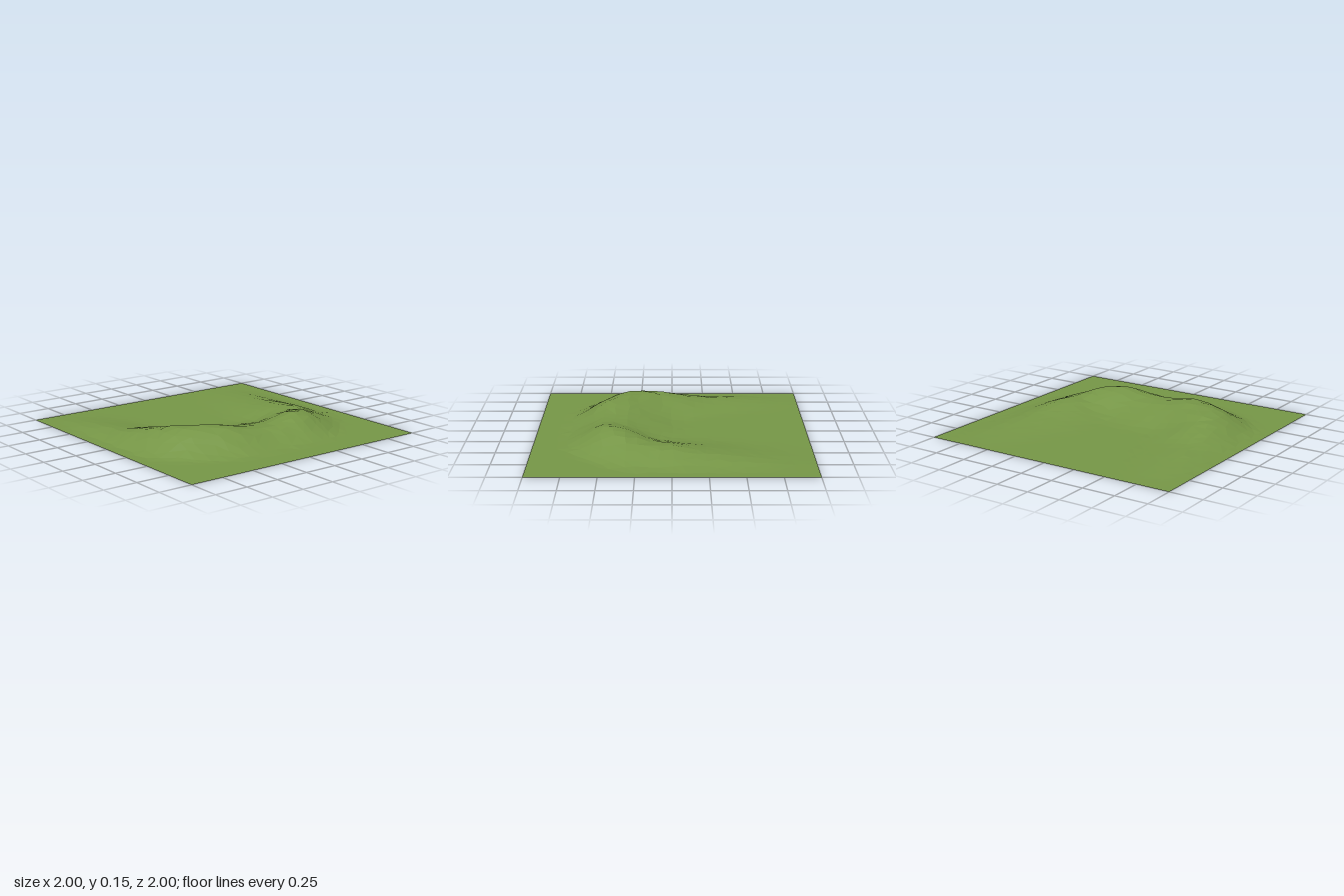
import * as THREE from 'three';

// Crest line of the hill: x, height, z, outer slope width, inner slope width
const CREST = [
  [-0.8, 0.003, -0.72, 0.2, 0.35], [-0.5, 0.027, -0.69, 0.23, 0.45], [-0.2, 0.052, -0.65, 0.27, 0.5],
  [0.05, 0.085, -0.6, 0.32, 0.45], [0.25, 0.097, -0.54, 0.36, 0.45], [0.43, 0.146, -0.37, 0.34, 0.45],
  [0.48, 0.118, -0.2, 0.32, 0.5], [0.49, 0.1, 0, 0.3, 0.6], [0.47, 0.115, 0.15, 0.33, 0.58],
  [0.43, 0.145, 0.32, 0.37, 0.52], [0.3, 0.152, 0.54, 0.38, 0.5], [0.07, 0.108, 0.65, 0.3, 0.46],
  [-0.16, 0.057, 0.71, 0.25, 0.42], [-0.45, 0.032, 0.76, 0.2, 0.38], [-0.8, 0.003, 0.8, 0.16, 0.3],
];

const SEGMENTS = 24, SAMPLES = 140;

// Repeatable value in -1..1 for a grid point
function wobble(i, j, k) {
  const s = Math.sin(i * 127.1 + j * 311.7 + k * 74.7) * 43758.5453;
  return (s - Math.floor(s)) * 2 - 1;
}

// Points along the crest with slope widths and the outward direction on the ground
function sampleCrest() {
  const line = new THREE.CatmullRomCurve3(CREST.map(([x, y, z]) => new THREE.Vector3(x, y, z)));
  const samples = [];
  for (let s = 0; s <= SAMPLES; s++) {
    const u = s / SAMPLES;
    const at = u * (CREST.length - 1), k = Math.min(Math.floor(at), CREST.length - 2);
    const width = (c) => THREE.MathUtils.lerp(CREST[k][c], CREST[k + 1][c], at - k);
    const t = line.getTangent(u), len = Math.hypot(t.x, t.z);
    samples.push({ p: line.getPoint(u), outer: width(3), inner: width(4), nx: t.z / len, nz: -t.x / len });
  }
  return samples;
}

// Ground height: the highest smooth slope falling away from any crest sample
function heightAt(x, z, samples) {
  let best = 0;
  for (const { p, outer, inner, nx, nz } of samples) {
    const dx = x - p.x, dz = z - p.z, d = Math.hypot(dx, dz);
    const side = d > 0 ? 0.5 + 0.5 * (dx * nx + dz * nz) / d : 0.5;
    const width = THREE.MathUtils.lerp(inner, outer, side);
    best = Math.max(best, p.y * (1 - THREE.MathUtils.smoothstep(d / width, 0, 1)));
  }
  return best;
}

export function createModel() {
  const group = new THREE.Group();
  const grass = new THREE.MeshStandardMaterial({ color: 0x759546, flatShading: true, side: THREE.DoubleSide });
  grass.name = 'grass green';

  // Square sheet, loosened into irregular facets and raised to the hill
  const sheet = new THREE.PlaneGeometry(2, 2, SEGMENTS, SEGMENTS).rotateX(-Math.PI / 2);
  const pos = sheet.attributes.position;
  const row = SEGMENTS + 1, cell = 2 / SEGMENTS;
  const samples = sampleCrest();
  for (let n = 0; n < pos.count; n++) {
    const i = n % row, j = Math.floor(n / row);
    let x = pos.getX(n), z = pos.getZ(n);
    if (i > 0 && j > 0 && i < SEGMENTS && j < SEGMENTS) {
      x += wobble(i, j, 1) * cell * 0.22;
      z += wobble(i, j, 2) * cell * 0.22;
    }
    const y = heightAt(x, z, samples) * (1 + 0.04 * wobble(i, j, 3));
    pos.setXYZ(n, x, Math.min(0.152, y), z);
  }

  // Split each cell along its more level diagonal, so the ridges stay clean
  const index = [];
  for (let j = 0; j < SEGMENTS; j++) {
    for (let i = 0; i < SEGMENTS; i++) {
      const a = j * row + i, b = a + 1, c = a + row, d = c + 1;
      const rise = (m, n) => Math.abs(pos.getY(m) - pos.getY(n));
      if (rise(a, d) < rise(b, c)) index.push(a, c, d, a, d, b);
      else index.push(a, c, b, c, d, b);
    }
  }
  sheet.setIndex(index);
  const facets = sheet.toNonIndexed();
  facets.computeVertexNormals();

  const hill = new THREE.Mesh(facets, grass);
  hill.name = 'curvedHillTerrain';
  group.add(hill);
  return group;
}
